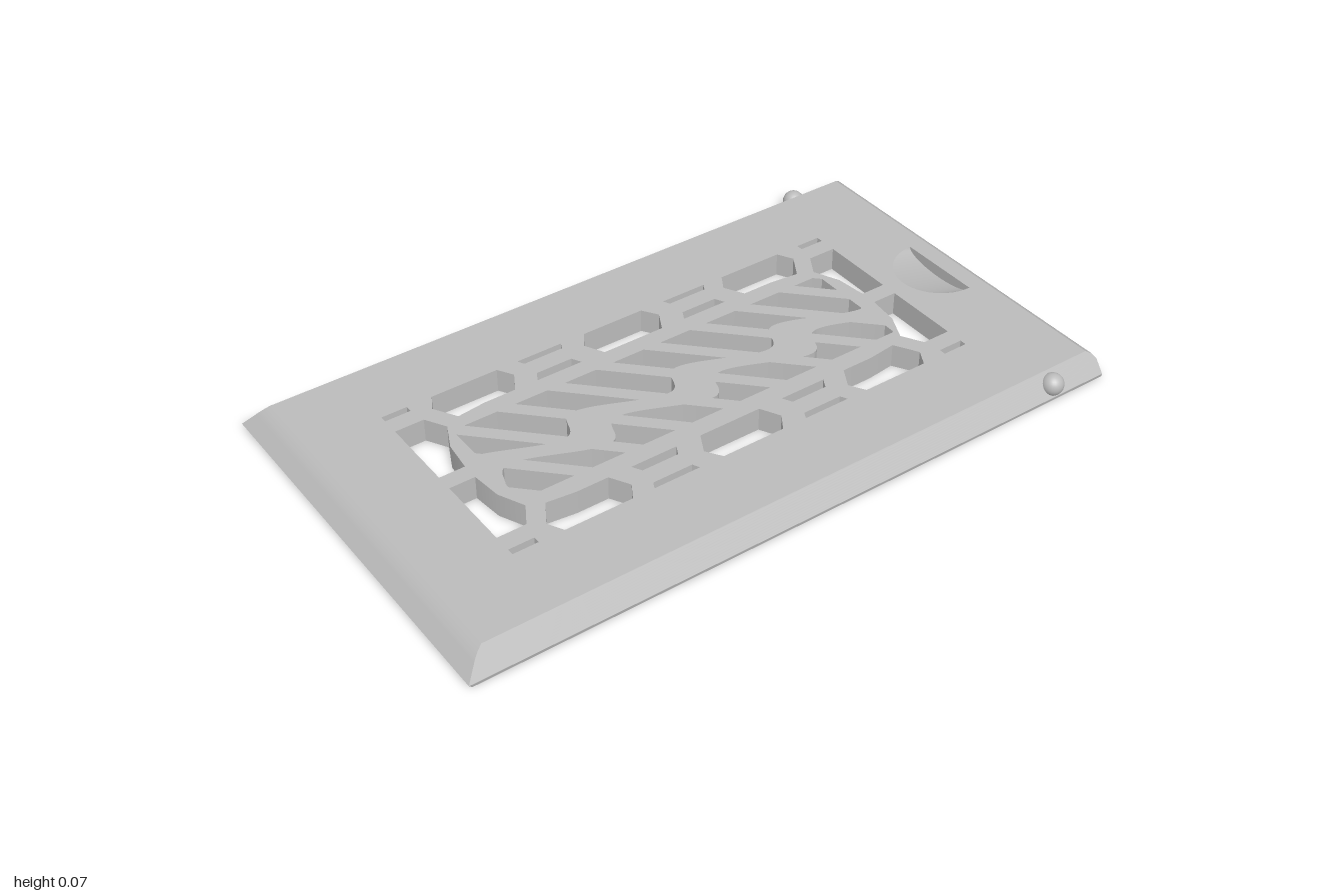
import * as THREE from 'three';
import { toCreasedNormals } from 'three/addons/utils/BufferGeometryUtils.js';

const H = 0.07;          // slab thickness
const ZC = -0.005;       // the fretwork mirrors about this z
const SCOOP = { w: 0.128, z: -0.92, len: 0.137, depth: 0.035 };

// Linear interpolation through [y, value] pairs
function profile(points, y) {
  for (let i = 1; i < points.length; i++) {
    const [y0, v0] = points[i - 1], [y1, v1] = points[i];
    if (y <= y1 + 1e-6) return v0 + (v1 - v0) * (y - y0) / (y1 - y0);
  }
  return points[points.length - 1][1];
}
const SIDE = [[0, 0.58], [0.01, 0.582], [0.07, 0.535]];
const FRONT = [[0, 0.99], [0.01, 1], [0.05, 0.962], [0.06, 0.95], [0.07, 0.935]];
const BACK = [[0, -1], [0.045, -1], [0.06, -0.99], [0.07, -0.973]];

// Border cut-outs, drawn for one quarter as [x, z] and mirrored
const QUARTER = [
  [[-0.25, -0.73], [-0.025, -0.73], [-0.025, -0.655], [-0.115, -0.645], [-0.19, -0.61], [-0.25, -0.645]],
  [[-0.322, -0.58], [-0.277, -0.605], [-0.21, -0.565], [-0.22, -0.48], [-0.22, -0.385], [-0.277, -0.353], [-0.322, -0.38]],
  [[-0.322, -0.73], [-0.302, -0.73], [-0.302, -0.655], [-0.322, -0.655]],
  [[-0.322, -0.315], [-0.302, -0.305], [-0.302, -0.185], [-0.322, -0.175]],
  [[-0.248, -0.3], [-0.22, -0.315], [-0.22, -0.175], [-0.248, -0.19]],
];
const MIDDLE = [[-0.322, -0.1], [-0.277, -0.13], [-0.22, -0.1], [-0.22, 0.09], [-0.277, 0.12], [-0.322, 0.09]];

function borderHoles() {
  const holes = [];
  for (const sx of [1, -1]) {
    holes.push(MIDDLE.map(([x, z]) => [x * sx, z]));
    for (const sz of [1, -1])
      for (const q of QUARTER) holes.push(q.map(([x, z]) => [x * sx, ZC + (z - ZC) * sz]));
  }
  return holes;
}

// Diagonal slots (x + z = s along each), interrupted by a winding central rib
function slatHoles() {
  const holes = [], n = 12;
  for (let k = -1; k <= 8; k++) {
    const s0 = -0.635 + k * 0.155;
    for (const half of [-1, 1]) {
      const lo = [], hi = [];
      for (let i = 0; i <= n; i++) {
        const s = s0 + 0.1 * i / n;
        const rib = 0.03 + 0.04 * Math.sin(s * 19) + half * 0.042;
        const xa = Math.max(half < 0 ? -0.168 : rib, s - 0.598);
        const xb = Math.min(half < 0 ? rib : 0.165, s + 0.608);
        if (xb - xa < 0.012) continue;
        lo.push([xa, s - xa]);
        hi.unshift([xb, s - xb]);
      }
      if (lo.length > 2) holes.push([...lo, ...hi]);
    }
  }
  return holes;
}

// Half-ellipse outline of the thumb scoop
function scoopOutline() {
  const pts = [];
  for (let i = 0; i <= 24; i++) {
    const a = (i / 24 - 0.5) * Math.PI;
    pts.push([SCOOP.w * Math.sin(a), SCOOP.z + SCOOP.len * Math.cos(a)]);
  }
  return pts;
}

function slabGeometry() {
  const toV = ([x, z]) => new THREE.Vector2(x, -z);
  const shape = new THREE.Shape([[-0.58, 1], [0.58, 1], [0.58, -1], [-0.58, -1]].map(toV));
  for (const h of [...borderHoles(), ...slatHoles(), scoopOutline()])
    shape.holes.push(new THREE.Path(h.map(toV)));
  const geo = new THREE.ExtrudeGeometry(shape, { depth: H, steps: 14, bevelEnabled: false });
  geo.rotateX(-Math.PI / 2);
  // Pull the outer walls in to form the bevelled and rounded edges
  const p = geo.attributes.position;
  for (let i = 0; i < p.count; i++) {
    const x = p.getX(i), y = p.getY(i), z = p.getZ(i);
    if (Math.abs(x) < 0.5) continue;
    p.setX(i, Math.sign(x) * profile(SIDE, y));
    p.setZ(i, profile(z > 0 ? FRONT : BACK, y));
  }
  return toCreasedNormals(geo, 0.5);
}

// Sloping floor, deepest along the straight back wall
function scoopGeometry() {
  const geo = new THREE.PlaneGeometry(2, 1, 24, 6).rotateX(-Math.PI / 2);
  const p = geo.attributes.position;
  for (let i = 0; i < p.count; i++) {
    const a = p.getX(i) * Math.PI / 2, v = p.getZ(i) + 0.5;
    p.setXYZ(i, SCOOP.w * Math.sin(a),
      H - SCOOP.depth * Math.cos(a) * (1 - v),
      SCOOP.z + v * SCOOP.len * Math.cos(a));
  }
  geo.computeVertexNormals();
  return geo;
}

export function createModel() {
  const model = new THREE.Group();
  model.name = 'ventCover';
  const grey = new THREE.MeshStandardMaterial({ color: 0xbcbcbc });
  grey.name = 'lightGrey';
  const add = (name, geo) => {
    const mesh = new THREE.Mesh(geo, grey);
    mesh.name = name;
    model.add(mesh);
    return mesh;
  };

  add('panel', slabGeometry());
  add('thumbScoop', scoopGeometry());

  // Closes the underside beneath the scoop
  const under = new THREE.Shape(scoopOutline().map(([x, z]) => new THREE.Vector2(x, z)));
  add('scoopUnderside', new THREE.ShapeGeometry(under).rotateX(Math.PI / 2));

  // Snap-in balls on both sides
  for (const side of [1, -1])
    add(side > 0 ? 'leftCatchBall' : 'rightCatchBall', new THREE.SphereGeometry(0.032, 24, 16))
      .position.set(side * 0.561, 0.038, -0.83);

  return model;
}
